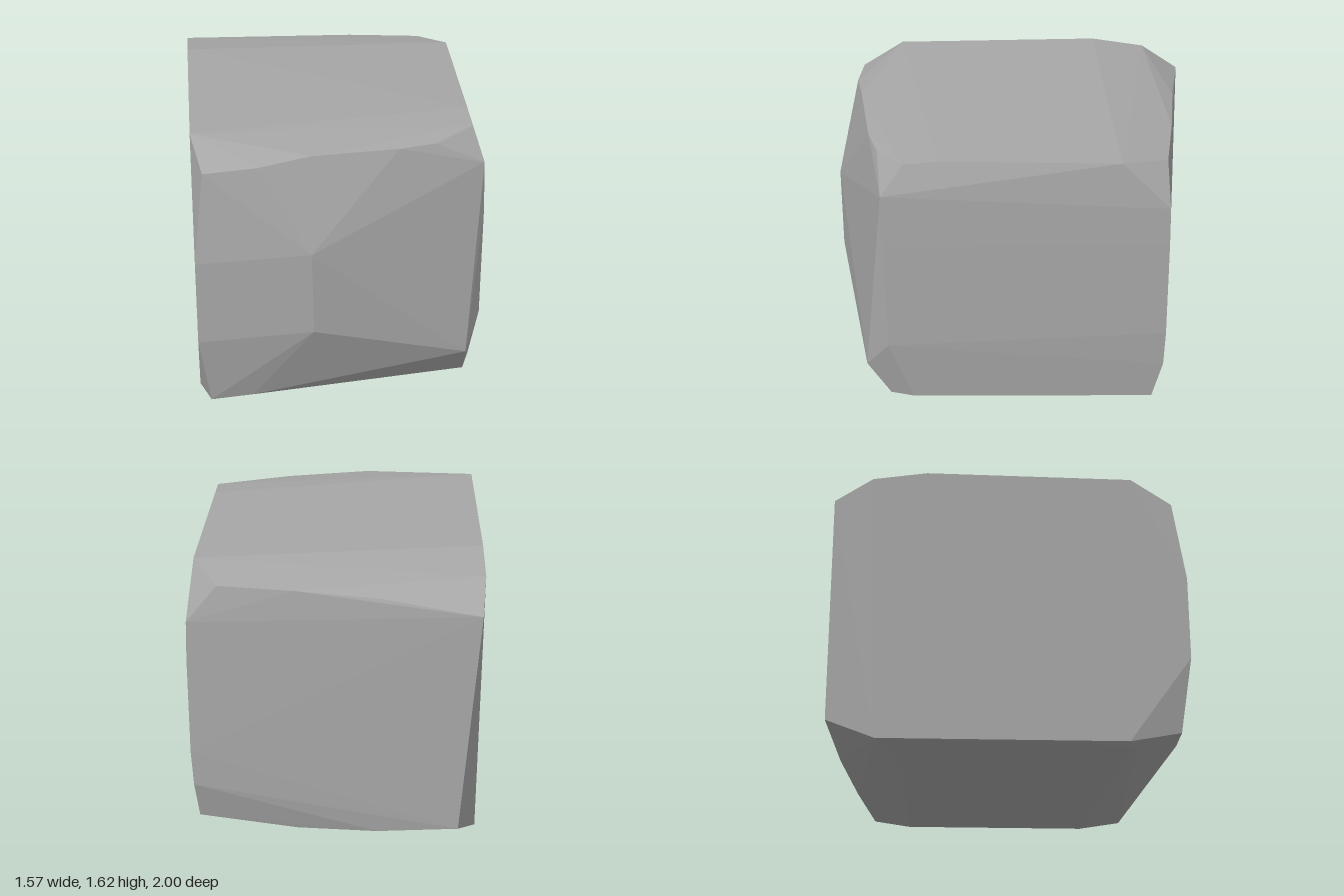
import * as THREE from 'three';
import { ConvexGeometry } from 'three/addons/geometries/ConvexGeometry.js';

// Corner points of the stone block, grouped by the side they belong to
const frontCorners = [
  [-0.18, 1.04, 1.0], [-0.17, 0.57, 1.0],                       // bulge
  [-0.79, 0.98, 0.94], [-0.79, 0.5, 0.94],                      // edge to the flat side
  [-0.735, 1.475, 0.88], [-0.45, 1.505, 0.895], [-0.17, 1.54, 0.85],
  [0.3, 1.53, 0.78], [0.5, 1.525, 0.72],                        // upper edge
  [-0.73, 0.09, 0.88], [-0.5, 0.11, 0.88], [0.69, 0.28, 0.81],  // lower edge
];

const backCorners = [
  [-0.77, 1.44, -1.0], [-0.25, 1.505, -0.93], [0.2, 1.525, -0.885], [0.61, 1.525, -0.83],
  [-0.68, 0.16, -1.0], [-0.24, 0.1, -0.94], [0.2, 0.07, -0.865],
];

const sideCorners = [
  [0.77, 1.39, 0.69], [0.78, 1.1, 0.685], [0.78, 0.46, 0.68], [0.7, 0.09, 0.68],
  [0.775, 1.32, -0.84], [0.78, 1.1, -0.845], [0.78, 0.54, -0.85], [0.77, 0.33, -0.845],
  [0.75, 0.1, -0.79], [0.75, 0.1, 0.55],
];

const topCorners = [
  [-0.79, 1.6, 0.65], [-0.79, 1.62, -0.49], [-0.79, 1.575, -0.79],
  [0.72, 1.555, 0.57], [0.72, 1.575, 0.38], [0.75, 1.575, -0.58],
];

const bottomCorners = [
  [-0.79, 0.015, 0.6], [-0.79, 0.015, -0.73], [-0.71, 0.01, 0.65],
  [-0.45, 0, 0.58], [-0.45, 0, -0.6], [0.64, 0.03, 0.44], [0.64, 0.03, -0.58],
];

export function createModel() {
  const stone = new THREE.MeshStandardMaterial({ color: 0xa6a6a6 });
  stone.name = 'grey stone';

  // Faceted convex block wrapped around the corners
  const corners = [frontCorners, backCorners, sideCorners, topCorners, bottomCorners]
    .flat()
    .map(([x, y, z]) => new THREE.Vector3(x, y, z));
  const block = new THREE.Mesh(new ConvexGeometry(corners), stone);
  block.name = 'stoneBlock';

  const model = new THREE.Group();
  model.name = 'stone';
  model.add(block);
  return model;
}
